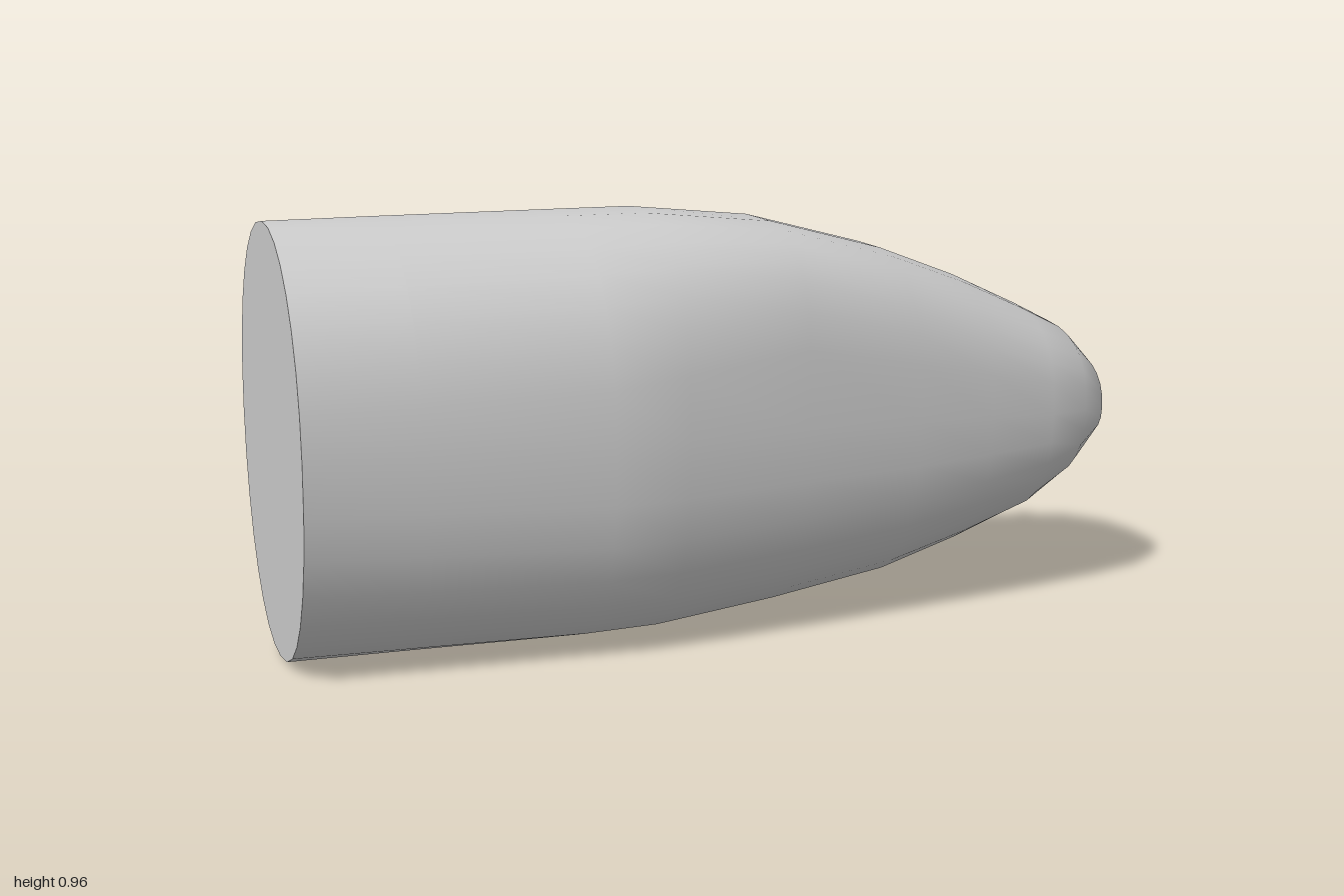
import * as THREE from 'three';

const SIDES = 32;

// Cross-sections from the flat rear end to the nose:
// x, top y, bottom y, back z, front z, widest y, roundness (top front, top back, bottom front, bottom back)
const SECTIONS = [
  [-0.99, 0.955, 0.010, -0.34, 0.30, 0.50, 2.1, 2.1, 2.2, 2.1],
  [-0.75, 0.957, 0.007, -0.36, 0.325, 0.50, 2.2, 2.1, 2.3, 2.1],
  [-0.35, 0.960, 0.003, -0.365, 0.365, 0.49, 2.4, 2.1, 2.4, 2.1],
  [-0.18, 0.960, 0.002, -0.365, 0.358, 0.49, 2.7, 2.15, 2.4, 2.1],
  [0.11, 0.932, 0.030, -0.345, 0.34, 0.49, 3.5, 2.3, 2.4, 2.1],
  [0.40, 0.858, 0.070, -0.312, 0.315, 0.48, 3.0, 2.4, 2.4, 2.1],
  [0.60, 0.785, 0.128, -0.288, 0.298, 0.47, 2.8, 2.4, 2.4, 2.2],
  [0.78, 0.705, 0.190, -0.262, 0.275, 0.46, 2.7, 2.4, 2.4, 2.2],
  [0.88, 0.655, 0.258, -0.22, 0.26, 0.46, 2.6, 2.4, 2.3, 2.2],
  [0.965, 0.580, 0.345, -0.17, 0.205, 0.45, 2.4, 2.3, 2.2, 2.2],
  [0.99, 0.530, 0.390, -0.09, 0.13, 0.45, 2.2, 2.2, 2.2, 2.2],
  [1.00, 0.450, 0.450, 0.03, 0.03, 0.45, 2, 2, 2, 2],
];

// One point on a section; each quadrant has its own size and roundness
function sectionPoint([x, top, bottom, back, front, midY, tf, tb, bf, bb], j) {
  const a = ((j % SIDES) / SIDES) * Math.PI * 2;
  const c = Math.cos(a), s = Math.sin(a);
  const n = s >= 0 ? (c >= 0 ? tf : tb) : (c >= 0 ? bf : bb);
  const midZ = (front + back) / 2;
  const bend = (v) => Math.sign(v) * Math.abs(v) ** (2 / n);
  return [
    x,
    midY + bend(s) * (s >= 0 ? top - midY : midY - bottom),
    midZ + bend(c) * (front - back) / 2,
  ];
}

function buildGeometry(points, index) {
  const geometry = new THREE.BufferGeometry();
  geometry.setAttribute('position', new THREE.Float32BufferAttribute(points.flat(), 3));
  geometry.setIndex(index);
  geometry.computeVertexNormals();
  return geometry;
}

export function createModel() {
  const model = new THREE.Group();
  const material = new THREE.MeshStandardMaterial({ color: 0xcccccc });
  const add = (name, geometry) => {
    const mesh = new THREE.Mesh(geometry, material);
    mesh.name = name;
    model.add(mesh);
  };

  // Smooth tapering shell, closed to a point at the nose
  const points = [], index = [];
  const last = SECTIONS.length - 1;
  for (let i = 0; i < last; i++) {
    for (let j = 0; j < SIDES; j++) points.push(sectionPoint(SECTIONS[i], j));
  }
  const tip = points.length;
  points.push(sectionPoint(SECTIONS[last], 0));
  for (let i = 0; i < last; i++) {
    for (let j = 0; j < SIDES; j++) {
      const k = (j + 1) % SIDES;
      const a = i * SIDES + j, b = i * SIDES + k;
      if (i === last - 1) index.push(a, tip, b);
      else index.push(a, a + SIDES, b, b, a + SIDES, b + SIDES);
    }
  }
  add('shell', buildGeometry(points, index));

  // Flat rear end
  const rim = [[-0.99, 0.48, -0.02]], fan = [];
  for (let j = 0; j < SIDES; j++) {
    rim.push(sectionPoint(SECTIONS[0], j));
    fan.push(0, j + 1, ((j + 1) % SIDES) + 1);
  }
  add('rearCap', buildGeometry(rim, fan));

  return model;
}
